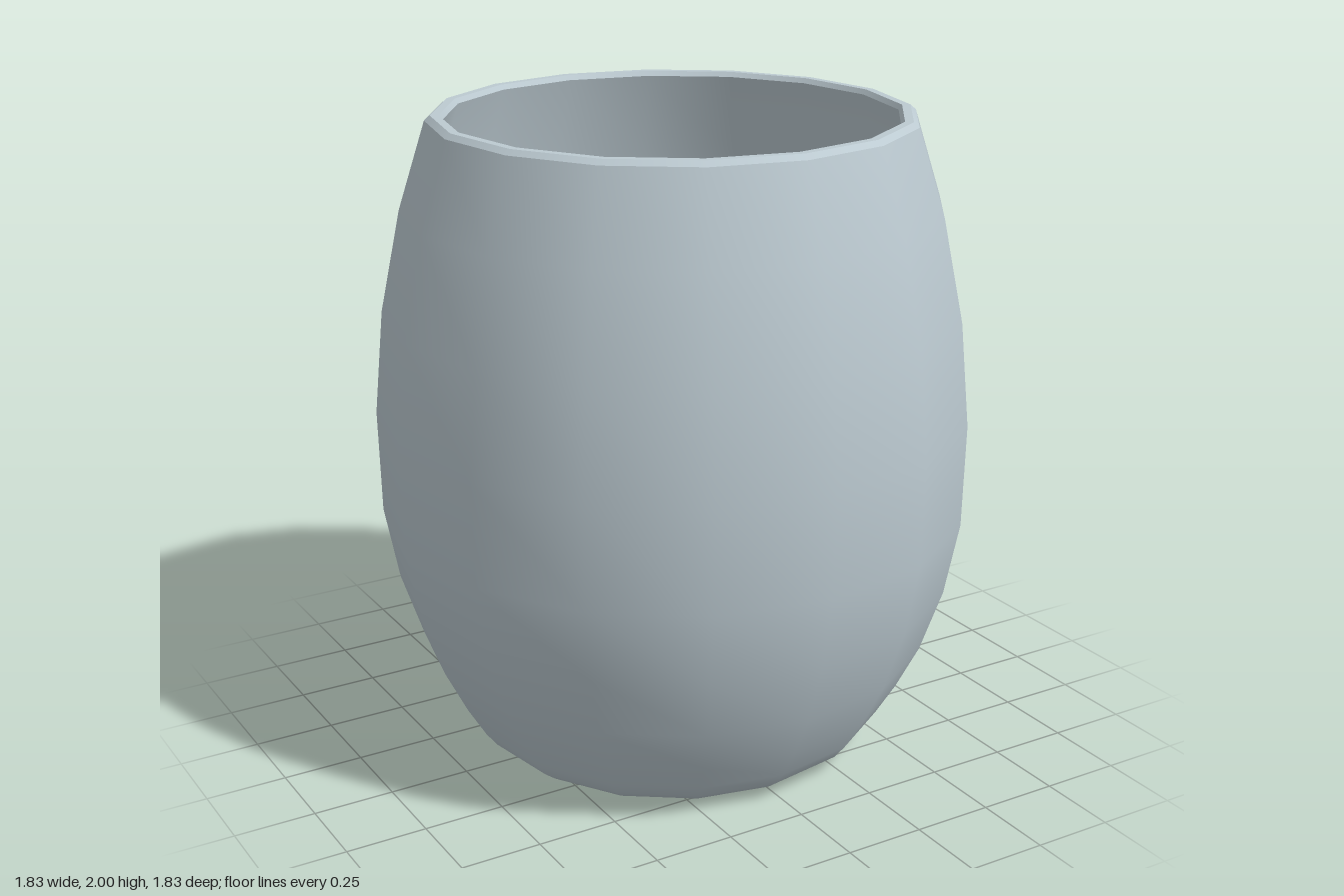
import * as THREE from 'three';

const SIDES = 16;
const TURN = -0.022; // slight twist of the 16-sided ring

export function createModel() {
  const group = new THREE.Group();
  const paleGlass = new THREE.MeshStandardMaterial({ color: 0xbccad1 });
  paleGlass.name = 'paleGlass';

  // Each ring is its own lathe, so edges between them stay sharp
  const lathe = (name, profile) => {
    const points = profile.map(([r, y]) => new THREE.Vector2(r, y));
    const mesh = new THREE.Mesh(new THREE.LatheGeometry(points, SIDES, TURN), paleGlass);
    mesh.name = name;
    group.add(mesh);
  };

  // Flat underside
  lathe('base', [[0, 0], [0.52, 0]]);

  // Barrel-shaped outside
  lathe('outerWall', [
    [0.52, 0], [0.59, 0.02], [0.635, 0.055], [0.67, 0.1], [0.73, 0.2], [0.8, 0.34],
    [0.867, 0.54], [0.91, 0.77], [0.916, 1.09], [0.885, 1.41], [0.82, 1.72], [0.735, 1.985],
  ]);

  // Rim with a small bevel on both edges
  lathe('rimOuterBevel', [[0.735, 1.985], [0.718, 2]]);
  lathe('rimTop', [[0.718, 2], [0.692, 2]]);
  lathe('rimInnerBevel', [[0.692, 2], [0.682, 1.985]]);

  // Hollow inside, following the outer curve
  lathe('innerWall', [
    [0.682, 1.985], [0.765, 1.72], [0.83, 1.41], [0.86, 1.09], [0.855, 0.78],
    [0.812, 0.55], [0.747, 0.36], [0.68, 0.23], [0.625, 0.14], [0.58, 0.085], [0.515, 0.06],
  ]);

  // Flat inner floor
  lathe('innerFloor', [[0.515, 0.06], [0, 0.06]]);

  return group;
}
